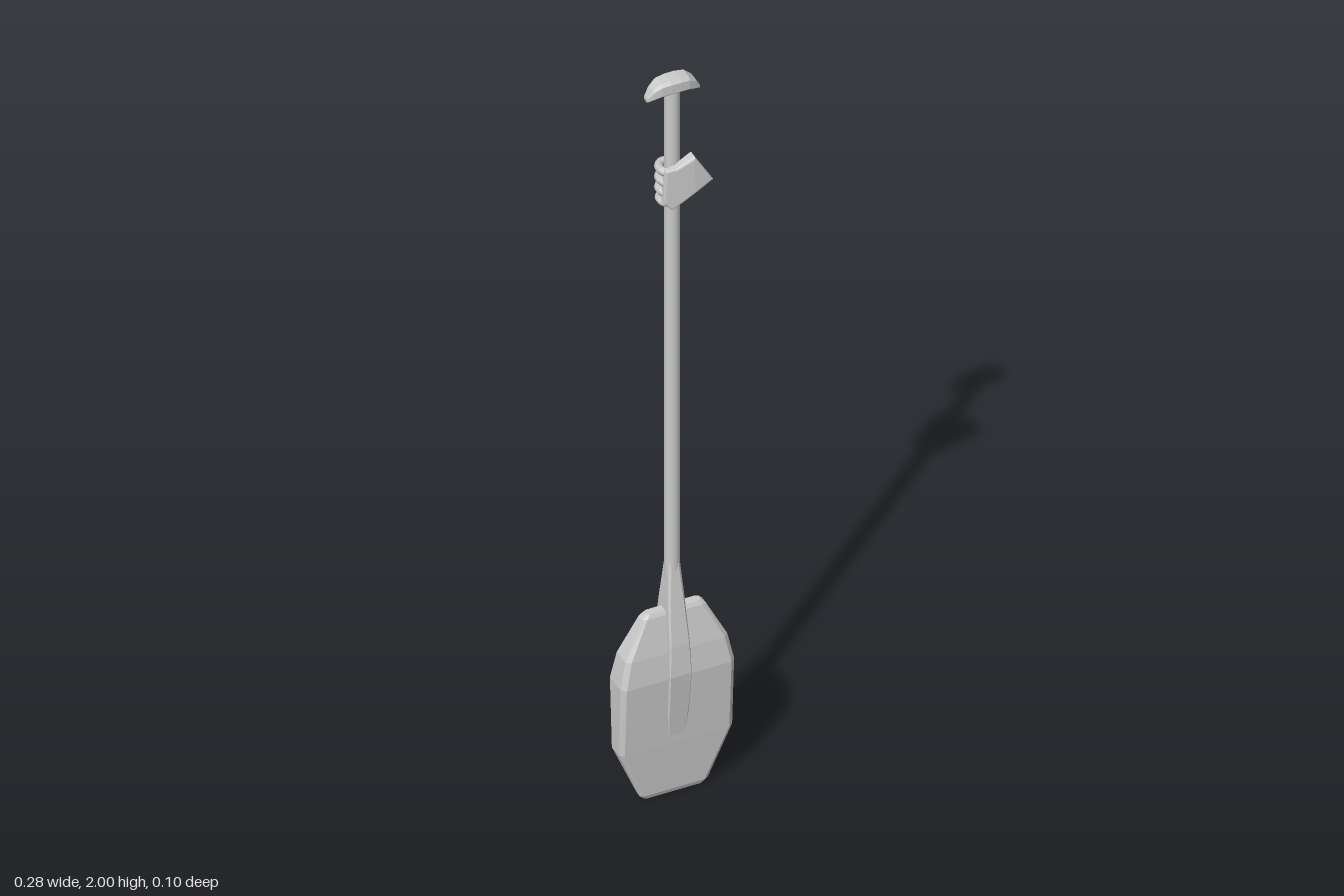
import * as THREE from 'three';

const flat = new THREE.MeshStandardMaterial({ color: 0xcccccc, flatShading: true });
const smooth = new THREE.MeshStandardMaterial({ color: 0xcccccc });

// Closed loft along y through chamfered rectangles.
// Row: [y, half width x, half depth z, chamfer x, chamfer z, z offset]
function loft(rows) {
  const rings = rows.map(([y, w, d, cx, cz, o = 0]) => [
    [w, d - cz], [w, -d + cz], [w - cx, -d], [-w + cx, -d],
    [-w, -d + cz], [-w, d - cz], [-w + cx, d], [w - cx, d],
  ].map(([x, z]) => [x, y, z + o]));
  const pos = [];
  const tri = (...pts) => pts.forEach((p) => pos.push(...p));
  for (let i = 0; i < rings.length - 1; i++) {
    for (let j = 0; j < 8; j++) {
      const k = (j + 1) % 8;
      const a = rings[i][j], b = rings[i][k], c = rings[i + 1][k], d = rings[i + 1][j];
      tri(a, b, c);
      tri(a, c, d);
    }
  }
  const first = rings[0], last = rings[rings.length - 1];
  for (let j = 1; j < 7; j++) {
    tri(first[0], first[j + 1], first[j]);
    tri(last[0], last[j], last[j + 1]);
  }
  const g = new THREE.BufferGeometry();
  g.setAttribute('position', new THREE.Float32BufferAttribute(pos, 3));
  g.computeVertexNormals();
  return g;
}

export function createModel() {
  const model = new THREE.Group();
  const add = (name, geometry, material = flat, parent = model) => {
    const mesh = new THREE.Mesh(geometry, material);
    mesh.name = name;
    parent.add(mesh);
    return mesh;
  };

  // Long round shaft
  add('shaft', new THREE.CylinderGeometry(0.018, 0.018, 1.42, 16), smooth).position.y = 1.27;

  // Broad blade, thickest above its middle, with a chamfered rim
  add('blade', loft([
    [0, 0.072, 0.009, 0.006, 0.003],
    [0.012, 0.084, 0.014, 0.01, 0.005],
    [0.15, 0.14, 0.026, 0.011, 0.008],
    [0.34, 0.14, 0.038, 0.011, 0.01],
    [0.41, 0.126, 0.032, 0.011, 0.01],
    [0.505, 0.078, 0.015, 0.01, 0.006],
    [0.515, 0.068, 0.01, 0.008, 0.004],
  ]));

  // Socket that runs down the shaft and sinks into the blade as a spine
  add('bladeSpine', loft([
    [0.13, 0.022, 0.022, 0.004, 0.004],
    [0.25, 0.026, 0.037, 0.003, 0.003],
    [0.35, 0.027, 0.048, 0.002, 0.002],
    [0.43, 0.025, 0.043, 0.003, 0.003],
    [0.54, 0.021, 0.028, 0.005, 0.005],
    [0.64, 0.015, 0.016, 0.006, 0.006],
  ]));

  // Domed cross grip, lofted along x
  const half = [[0.065, 0.009, 0.005, 1.955], [0.052, 0.015, 0.015, 1.968],
    [0.034, 0.021, 0.019, 1.978], [0.012, 0.023, 0.02, 1.98]];
  const gripRows = [...half.map(([x, ...r]) => [-x, ...r]), ...half.slice().reverse()];
  const grip = loft(gripRows.map(([x, hz, hy, cy]) => [x, hz, hy, hz * 0.35, hy * 0.4, cy]));
  const p = grip.attributes.position;
  for (let i = 0; i < p.count; i++) p.setXYZ(i, p.getY(i), p.getZ(i), p.getX(i));
  grip.computeVertexNormals();
  add('endGrip', grip);

  // Gloved hand holding the shaft
  const hand = new THREE.Group();
  hand.name = 'hand';
  model.add(hand);
  const outline = [[0.038, 1.783], [-0.002, 1.76], [-0.028, 1.757], [-0.032, 1.67],
    [-0.013, 1.65], [0.04, 1.686], [0.081, 1.71]];
  const palm = new THREE.ExtrudeGeometry(
    new THREE.Shape(outline.map(([x, y]) => new THREE.Vector2(x, y))),
    { depth: 0.018, bevelThickness: 0.005, bevelSize: 0.005, bevelOffset: -0.003, bevelSegments: 2 });
  palm.translate(0, 0, 0.018);
  // Thin the back of the hand toward the knuckles and the lower edge
  const q = palm.attributes.position;
  for (let i = 0; i < q.count; i++) {
    const slope = THREE.MathUtils.clamp((q.getX(i) + 0.035) / 0.07, 0, 1);
    q.setZ(i, 0.012 + (q.getZ(i) - 0.012) * (0.6 + 0.4 * slope));
  }
  palm.computeVertexNormals();
  add('handBack', palm, flat, hand);

  // Four fingers wrap round to the rear of the shaft
  for (let i = 0; i < 4; i++) {
    const y = 1.75 - i * 0.029;
    const r = i === 3 ? 0.009 : 0.0105;
    const path = new THREE.CatmullRomCurve3([
      [-0.014, 0, 0.022], [-0.027, 0, 0.014], [-0.029, -0.001, -0.008],
      [-0.017, -0.002, -0.023], [0.01, -0.003, -0.024],
    ].map(([x, dy, z]) => new THREE.Vector3(x, y + dy, z)));
    add('finger', new THREE.TubeGeometry(path, 12, r, 8), smooth, hand);
    const tip = add('fingertip', new THREE.SphereGeometry(r, 8, 6), smooth, hand);
    tip.position.set(0.01, y - 0.003, -0.024);
  }

  return model;
}
